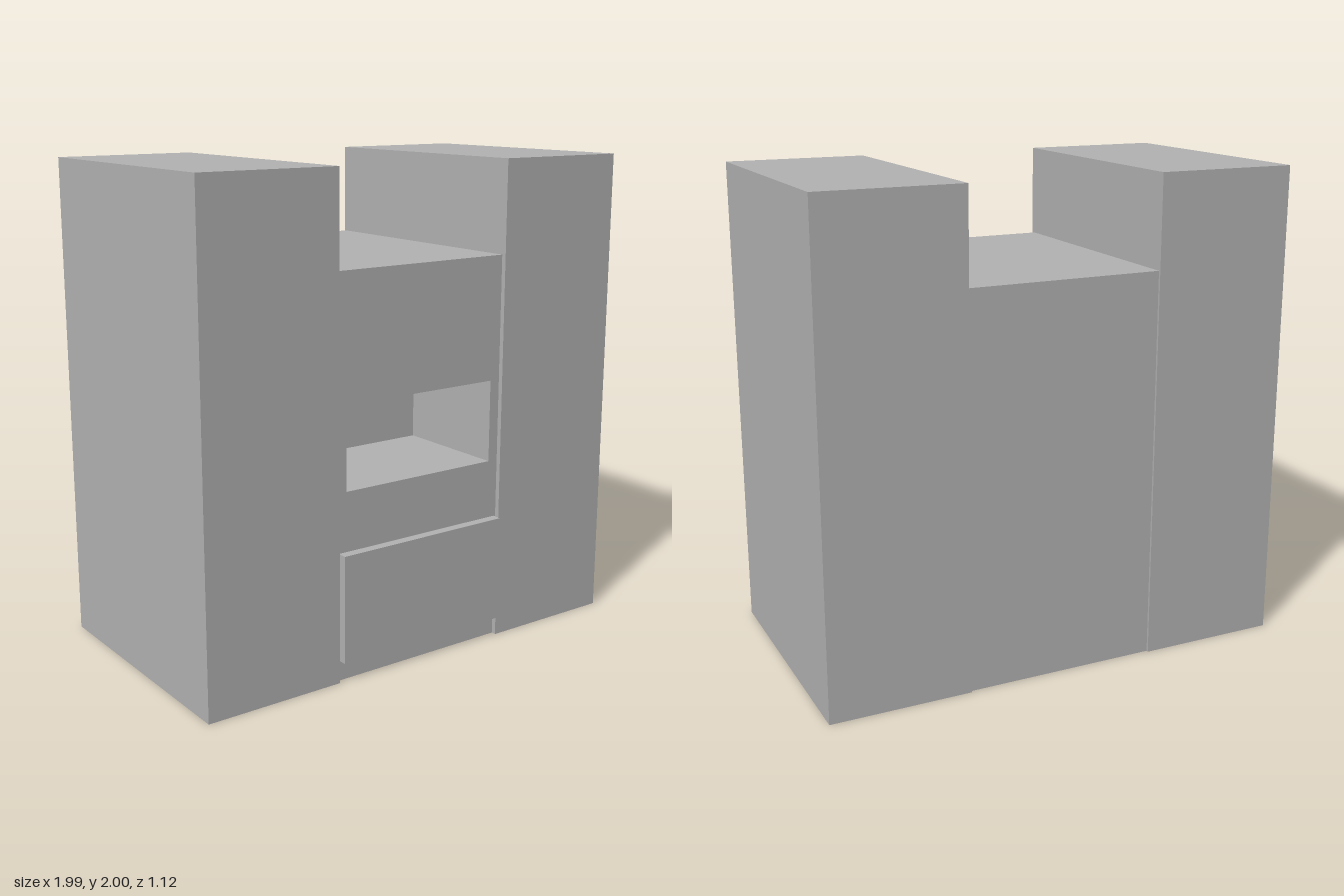
import * as THREE from 'three';

export function createModel() {
  const model = new THREE.Group();
  const grey = new THREE.MeshStandardMaterial({ color: 0xb2b2b2 });
  grey.name = 'grey';

  const add = (name, geometry) => {
    const mesh = new THREE.Mesh(geometry, grey);
    mesh.name = name;
    model.add(mesh);
  };
  // Box given by its limits on each axis
  const box = (name, x0, x1, y0, y1, z0, z1) => add(name,
    new THREE.BoxGeometry(x1 - x0, y1 - y0, z1 - z0)
      .translate((x0 + x1) / 2, (y0 + y1) / 2, (z0 + z1) / 2));

  // Tall side towers
  box('leftTower', 0.405, 0.995, 0, 2, -0.56, 0.54);
  box('rightTower', -0.995, -0.405, 0, 2, -0.56, 0.54);

  // Centre block: a frame around the recess, closed by a solid rear
  const front = 0.52, depth = 0.5;
  const frame = new THREE.Shape([
    new THREE.Vector2(-0.405, 0), new THREE.Vector2(0.405, 0),
    new THREE.Vector2(0.405, 1.62), new THREE.Vector2(-0.405, 1.62),
  ]);
  frame.holes.push(new THREE.Path([
    new THREE.Vector2(-0.36, 0.77), new THREE.Vector2(-0.36, 1.11),
    new THREE.Vector2(0.36, 1.11), new THREE.Vector2(0.36, 0.77),
  ]));
  add('recessFrame', new THREE.ExtrudeGeometry(frame, { depth, bevelEnabled: false })
    .translate(0, 0, front - depth));
  box('centreRear', -0.405, 0.405, 0, 1.62, -0.55, front - depth);

  // Raised panel below the recess
  box('drawerFront', -0.395, 0.395, 0.085, 0.527, front, 0.56);

  return model;
}
